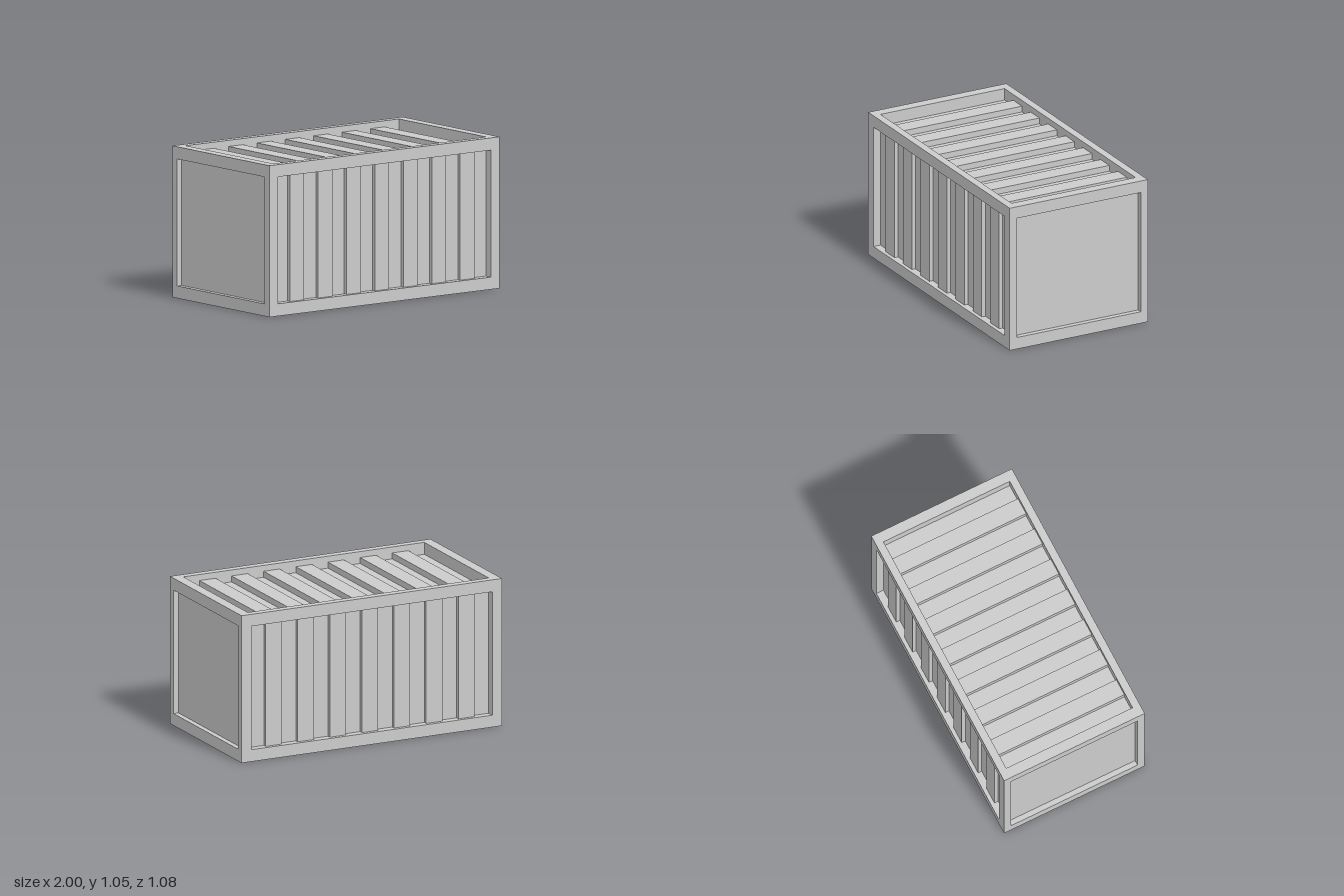
import * as THREE from 'three';

const W = 2, H = 1.05, D = 1.08;        // outer size
const FX = 0.075, FY = 0.085, FZ = 0.055; // frame bar thickness along each axis
const IW = W - 2 * FX, IH = H - 2 * FY, ID = D - 2 * FZ; // openings
const STRIPS = 15;                       // corrugation strips, every second one raised

export function createModel() {
  const model = new THREE.Group();
  model.name = 'shippingContainer';
  const material = new THREE.MeshStandardMaterial({ color: 0xcccccc, flatShading: true });

  // Box placed by its centre, with y measured from mid height
  const box = (name, parent, size, pos) => {
    const mesh = new THREE.Mesh(new THREE.BoxGeometry(...size), material);
    mesh.name = name;
    mesh.position.set(pos[0], pos[1] + H / 2, pos[2]);
    parent.add(mesh);
  };
  const group = (name) => {
    const g = new THREE.Group();
    g.name = name;
    model.add(g);
    return g;
  };

  // Frame: four posts, four long rails, four cross rails
  const frame = group('frame');
  const px = (W - FX) / 2, py = (H - FY) / 2, pz = (D - FZ) / 2;
  for (const a of [-1, 1]) {
    for (const b of [-1, 1]) {
      box('cornerPost', frame, [FX, H, FZ], [a * px, 0, b * pz]);
      box('longRail', frame, [IW, FY, FZ], [0, a * py, b * pz]);
      box('crossRail', frame, [FX, FY, ID], [a * px, b * py, 0]);
    }
  }

  // Body: forms the groove floors and the flat end panels, recessed half a bar
  box('body', model, [W - FX, IH, ID], [0, 0, 0]);

  // Raised ribs on the sides, roof and floor, half a bar high
  const sideRibs = group('sideRibs');
  const roofRibs = group('roofRibs');
  const floorRibs = group('floorRibs');
  const step = IW / STRIPS;
  for (let i = 1; i < STRIPS; i += 2) {
    const x = -IW / 2 + (i + 0.5) * step;
    for (const s of [-1, 1]) {
      box('sideRib', sideRibs, [step, IH, FZ / 2], [x, 0, s * (ID / 2 + FZ / 4)]);
    }
    box('roofRib', roofRibs, [step, FY / 2, ID], [x, IH / 2 + FY / 4, 0]);
    box('floorRib', floorRibs, [step, FY / 2, ID], [x, -IH / 2 - FY / 4, 0]);
  }
  return model;
}
